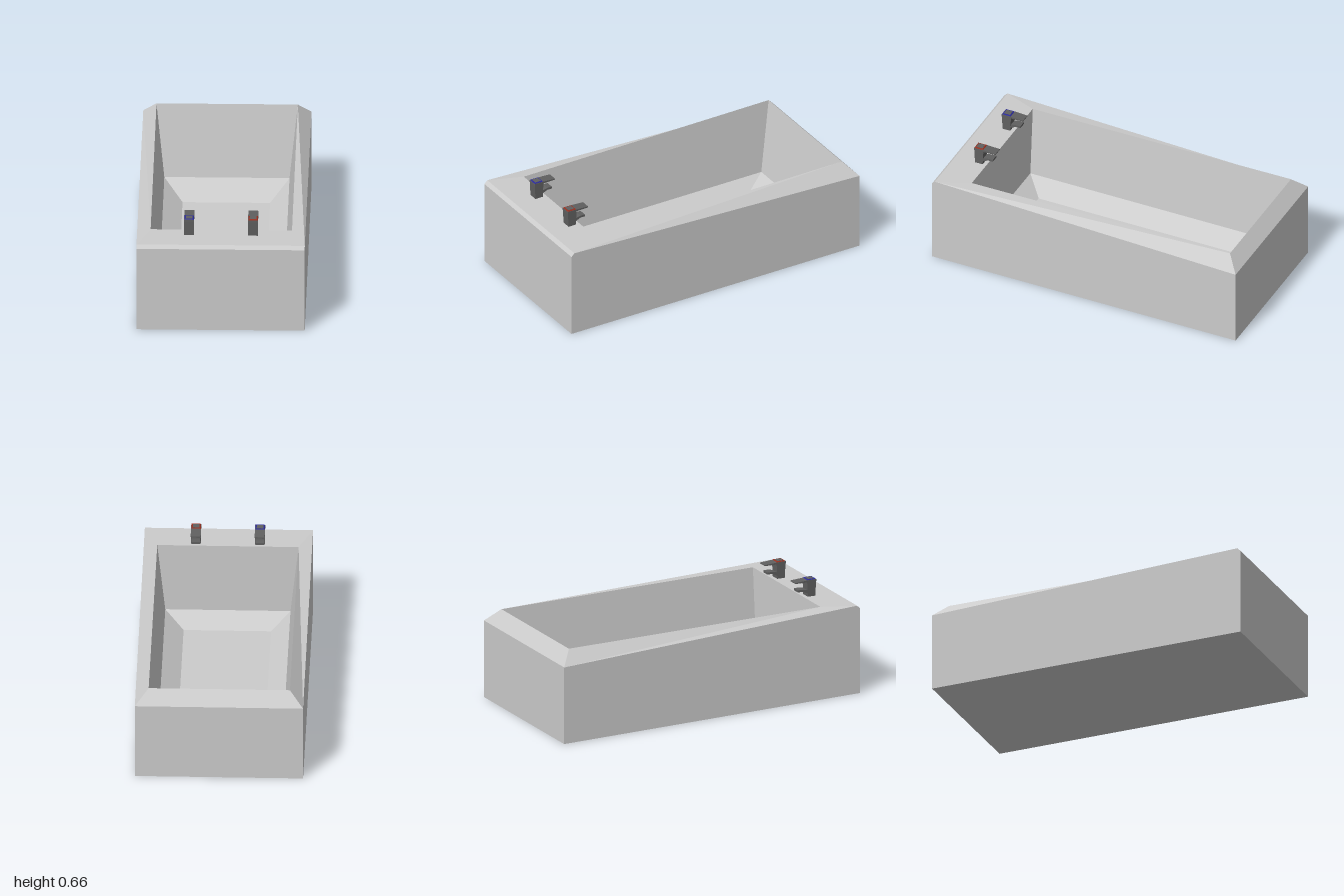
import * as THREE from 'three';

const grey = new THREE.MeshStandardMaterial({ color: 0xcccccc, flatShading: true });
const metal = new THREE.MeshStandardMaterial({ color: 0x606060, flatShading: true });
const red = new THREE.MeshStandardMaterial({ color: 0x9a3020 });
const blue = new THREE.MeshStandardMaterial({ color: 0x2c2c9a });

// Four-cornered loop: half width, then z and y of its front and back edges
const ring = (w, zf, yf, zb, yb) => [[-w, yf, zf], [w, yf, zf], [w, yb, zb], [-w, yb, zb]]
  .map(p => new THREE.Vector3(...p));

// Skin a stack of loops and close both ends
function skin(rings) {
  const pts = [];
  const quad = (a, b, c, d) => {
    for (const [p, q, r] of [[a, b, c], [a, c, d]]) {
      const area = q.clone().sub(p).cross(r.clone().sub(p)).length();
      if (area > 1e-7) pts.push(p, q, r);
    }
  };
  for (let k = 0; k < rings.length - 1; k++) {
    for (let i = 0; i < 4; i++) {
      const j = (i + 1) % 4;
      quad(rings[k][i], rings[k][j], rings[k + 1][j], rings[k + 1][i]);
    }
  }
  quad(...[...rings[0]].reverse());
  quad(...rings[rings.length - 1]);
  const g = new THREE.BufferGeometry().setFromPoints(pts);
  g.computeVertexNormals();
  return g;
}

// Side profile of [z, y] points extruded across x
function prism(profile, width) {
  const shape = new THREE.Shape(profile.map(p => new THREE.Vector2(...p)));
  const g = new THREE.ExtrudeGeometry(shape, { depth: width, bevelEnabled: false });
  return g.translate(0, 0, -width / 2).rotateY(-Math.PI / 2);
}

function part(parent, name, geometry, material) {
  const mesh = new THREE.Mesh(geometry, material);
  mesh.name = name;
  parent.add(mesh);
}

// Tap, with z and y in the tub's frame
function makeTap(name, x, marker) {
  const tap = new THREE.Group();
  tap.name = name;
  tap.position.x = x;
  part(tap, 'tapBody', prism([[0.85, 0.548], [0.855, 0.643], [0.795, 0.643], [0.8, 0.548]], 0.058), metal);
  part(tap, 'spout', prism([[0.81, 0.567], [0.81, 0.59], [0.765, 0.6], [0.735, 0.6], [0.735, 0.587], [0.765, 0.587]], 0.05), metal);
  part(tap, 'lever', prism([[0.856, 0.641], [0.856, 0.655], [0.795, 0.655], [0.715, 0.651], [0.715, 0.645], [0.795, 0.643]], 0.06), metal);
  part(tap, 'temperatureMarker', skin([
    ring(0.029, 0.855, 0.654, 0.797, 0.654),
    ring(0.025, 0.851, 0.659, 0.801, 0.659),
  ]), marker);
  part(tap, 'markerCap', new THREE.BoxGeometry(0.04, 0.004, 0.04).translate(0, 0.658, 0.826), metal);
  return tap;
}

export function createModel() {
  const model = new THREE.Group();
  model.name = 'bathtub';

  // Outer walls, front chamfer, sloping rim, basin walls, basin floor
  part(model, 'tub', skin([
    ring(0.5, 1, 0, -1, 0),
    ring(0.5, 1, 0.53, -1, 0.48),
    ring(0.5, 0.98, 0.55, -1, 0.48),
    ring(0.42, 0.775, 0.552, -0.925, 0.562),
    ring(0.372, 0.768, 0.115, -0.845, 0.115),
    ring(0.26, 0.66, 0.037, -0.665, 0.037),
  ]), grey);

  model.add(makeTap('coldTap', -0.19, blue), makeTap('hotTap', 0.19, red));
  return model;
}
